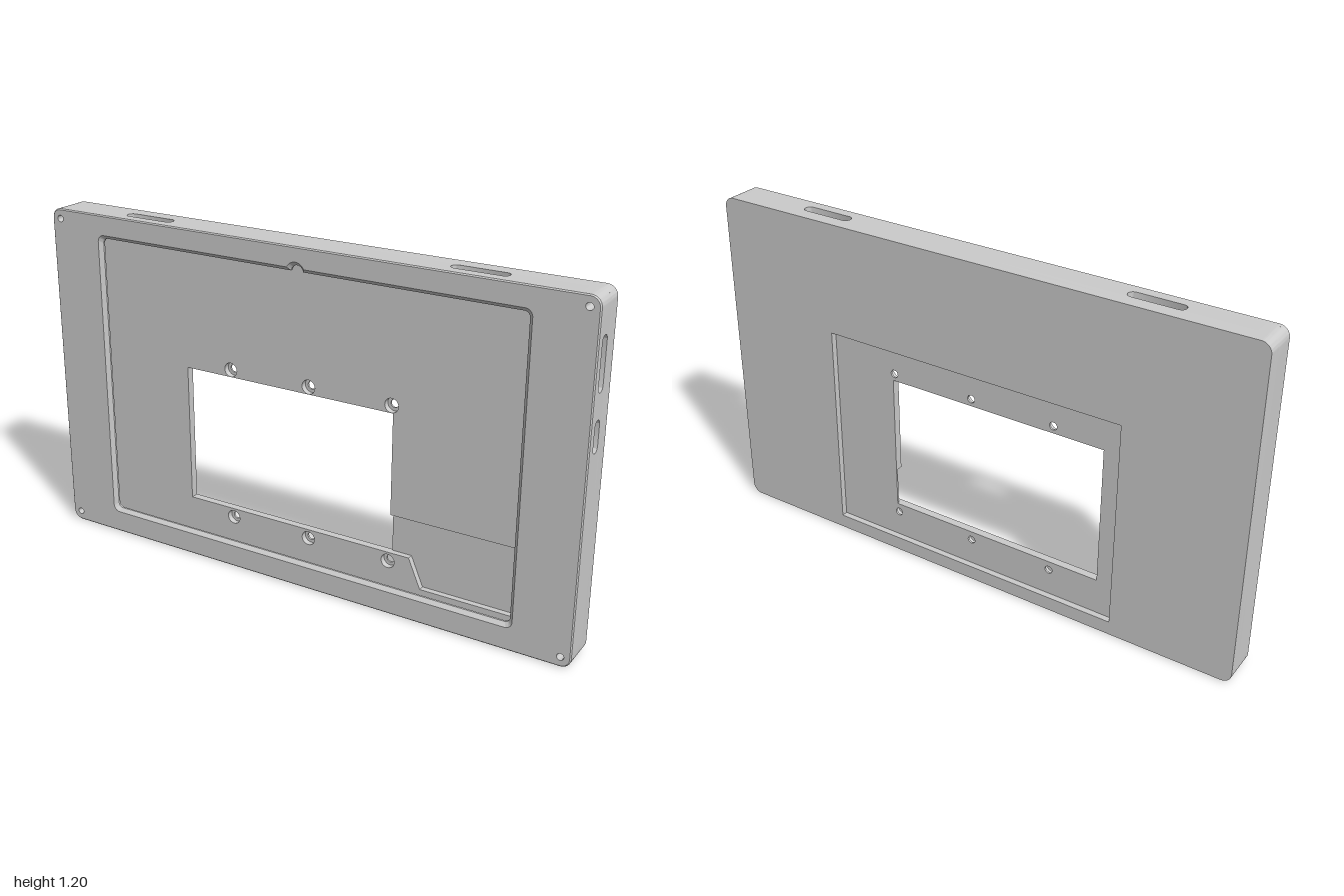
import * as THREE from 'three';
import { toCreasedNormals } from 'three/addons/utils/BufferGeometryUtils.js';

const W = 1, H = 1.2, R = 0.035;                 // half width, height, corner radius
const Z = { back: -0.065, recess: -0.043, channel: -0.036, floor: -0.015, bezel: 0.045, lip: 0.052, edge: 0.061, front: 0.065 };
const WALL = 0.04, POST = 0.07;

export function createModel() {
  const model = new THREE.Group();
  const mat = new THREE.MeshStandardMaterial({ color: 0xcccccc, side: THREE.DoubleSide });

  const add = (name, geo) => {
    const mesh = new THREE.Mesh(geo, mat);
    mesh.name = name;
    model.add(mesh);
    return mesh;
  };

  // Rounded rectangle outline
  const rounded = (x0, y0, x1, y1, r) => {
    const s = new THREE.Shape(), q = Math.PI / 2;
    s.moveTo(x0 + r, y0);
    s.absarc(x1 - r, y0 + r, r, -q, 0);
    s.absarc(x1 - r, y1 - r, r, 0, q);
    s.absarc(x0 + r, y1 - r, r, q, 2 * q);
    s.absarc(x0 + r, y0 + r, r, 2 * q, 3 * q);
    return s;
  };
  const outer = (inset = 0) => rounded(-W + inset, inset, W - inset, H - inset, R - inset);
  const polygon = (...pts) => new THREE.Shape(pts.map(([x, y]) => new THREE.Vector2(x, y)));
  const rect = (x0, y0, x1, y1) => polygon([x0, y0], [x1, y0], [x1, y1], [x0, y1]);
  const circle = (x, y, r) => new THREE.Shape().absarc(x, y, r, 0, Math.PI * 2);

  const extrude = (shape, holes, depth) => {
    shape.holes.push(...holes);
    return toCreasedNormals(new THREE.ExtrudeGeometry(shape, { depth, bevelEnabled: false, curveSegments: 12 }), 0.5);
  };
  const layer = (name, shape, holes, z0, z1) => add(name, extrude(shape, holes, z1 - z0).translate(0, 0, z0));

  // Band joining two matching outlines at different depths
  const band = (name, a, za, b, zb) => {
    const pa = a.getPoints(12), pb = b.getPoints(12), pos = [], n = pa.length;
    for (let i = 0; i < n; i++) {
      const j = (i + 1) % n;
      const A = [pa[i].x, pa[i].y, za], B = [pa[j].x, pa[j].y, za];
      const C = [pb[j].x, pb[j].y, zb], D = [pb[i].x, pb[i].y, zb];
      pos.push(...A, ...B, ...C, ...A, ...C, ...D);
    }
    const g = new THREE.BufferGeometry();
    g.setAttribute('position', new THREE.Float32BufferAttribute(pos, 3));
    g.computeVertexNormals();
    add(name, toCreasedNormals(g, 0.5));
  };

  // Back plate: mounting recess, window, screw holes and cable channel
  const win = { x0: -0.495, y0: 0.18, x1: 0.318, y1: 0.68 };
  const screws = r => [-0.312, 0, 0.312].flatMap(x => [0.147, 0.706].map(y => circle(x, y, r)));
  layer('backRecessFrame', outer(), [rect(-0.56, 0.05, 0.56, 0.80)], Z.back, Z.recess);
  layer('backPlate', outer(), [rect(win.x0, win.y0, win.x1, win.y1), ...screws(0.014)], Z.recess, Z.channel);
  const windowAndChannel = polygon(
    [win.x0, win.y0], [0.39, win.y0], [0.435, 0.075], [0.92, 0.075],
    [0.92, 0.32], [win.x1, 0.32], [win.x1, win.y1], [win.x0, win.y1]);
  layer('innerFloor', outer(), [windowAndChannel, ...screws(0.025)], Z.channel, Z.floor);

  // Corner posts with screw holes
  const cornerScrews = [-1, 1].flatMap(s => [0.035, H - 0.035].map(y => [s * 0.965, y]));
  for (const sx of [-1, 1]) for (const top of [false, true]) {
    const at = (x, y) => [sx * x, top ? H - y : y];
    const pts = [at(W - POST, 0)];
    for (let i = 0; i <= 10; i++) {
      const t = -Math.PI / 2 + i * Math.PI / 20;
      pts.push(at(W - R + R * Math.cos(t), R + R * Math.sin(t)));
    }
    pts.push(at(W, POST), at(W - POST, POST));
    layer('cornerPost', polygon(...pts), [circle(...at(0.965, 0.035), 0.012)], Z.floor, Z.bezel);
  }

  // Side walls; the left and top ones have rounded slots
  const depth = Z.bezel - Z.floor, midZ = (Z.bezel + Z.floor) / 2;
  add('rightWall', new THREE.BoxGeometry(WALL, H - 2 * POST, depth)).position.set(-W + WALL / 2, H / 2, midZ);
  add('bottomWall', new THREE.BoxGeometry(2 * (W - POST), WALL, depth)).position.set(0, WALL / 2, midZ);
  const sideSlots = [[0.90, 1.075], [0.71, 0.815]].map(([a, b]) => rounded(-0.034, a, 0.004, b, 0.0185));
  add('leftWall', extrude(rect(-Z.bezel, POST, -Z.floor, H - POST), sideSlots, WALL)
    .rotateY(Math.PI / 2).translate(W - WALL, 0, 0));
  const topSlots = [[-0.71, -0.52], [0.51, 0.70]].map(([a, b]) => rounded(a, -0.024, b, 0.0135, 0.0185));
  add('topWall', extrude(rect(-W + POST, -Z.bezel, W - POST, -Z.floor), topSlots, WALL)
    .rotateX(-Math.PI / 2).translate(0, H - WALL, 0));

  // Screen opening with a small round notch in its top edge
  const opening = o => {
    const s = new THREE.Shape(), q = Math.PI / 2, r = 0.025 - o / 2;
    const x = 0.80 - o, y0 = 0.08 + o, y1 = 1.13 - o, nr = 0.035 - o, t = Math.asin((y1 - 1.115) / nr);
    s.moveTo(-x + r, y0);
    s.absarc(x - r, y0 + r, r, -q, 0);
    s.absarc(x - r, y1 - r, r, 0, q);
    s.absarc(0, 1.115, nr, t, Math.PI - t);
    s.absarc(-x + r, y1 - r, r, q, 2 * q);
    s.absarc(-x + r, y0 + r, r, 2 * q, 3 * q);
    return s;
  };

  // Front bezel with chamfered opening and softened outer edge
  const bezelHoles = () => cornerScrews.map(([x, y]) => circle(x, y, 0.012));
  const chamfer = 0.013, soft = Z.front - Z.edge;
  layer('bezel', outer(), [opening(chamfer), ...bezelHoles()], Z.bezel, Z.lip);
  const face = outer(soft);
  face.holes.push(opening(0), ...bezelHoles());
  add('bezelFace', new THREE.ShapeGeometry(face, 12).translate(0, 0, Z.front));
  band('openingChamfer', opening(chamfer), Z.lip, opening(0), Z.front);
  band('bezelRim', outer(), Z.lip, outer(), Z.edge);
  band('bezelEdge', outer(), Z.edge, outer(soft), Z.front);
  for (const hole of bezelHoles()) band('cornerScrewHole', hole, Z.lip, hole, Z.front);

  return model;
}
